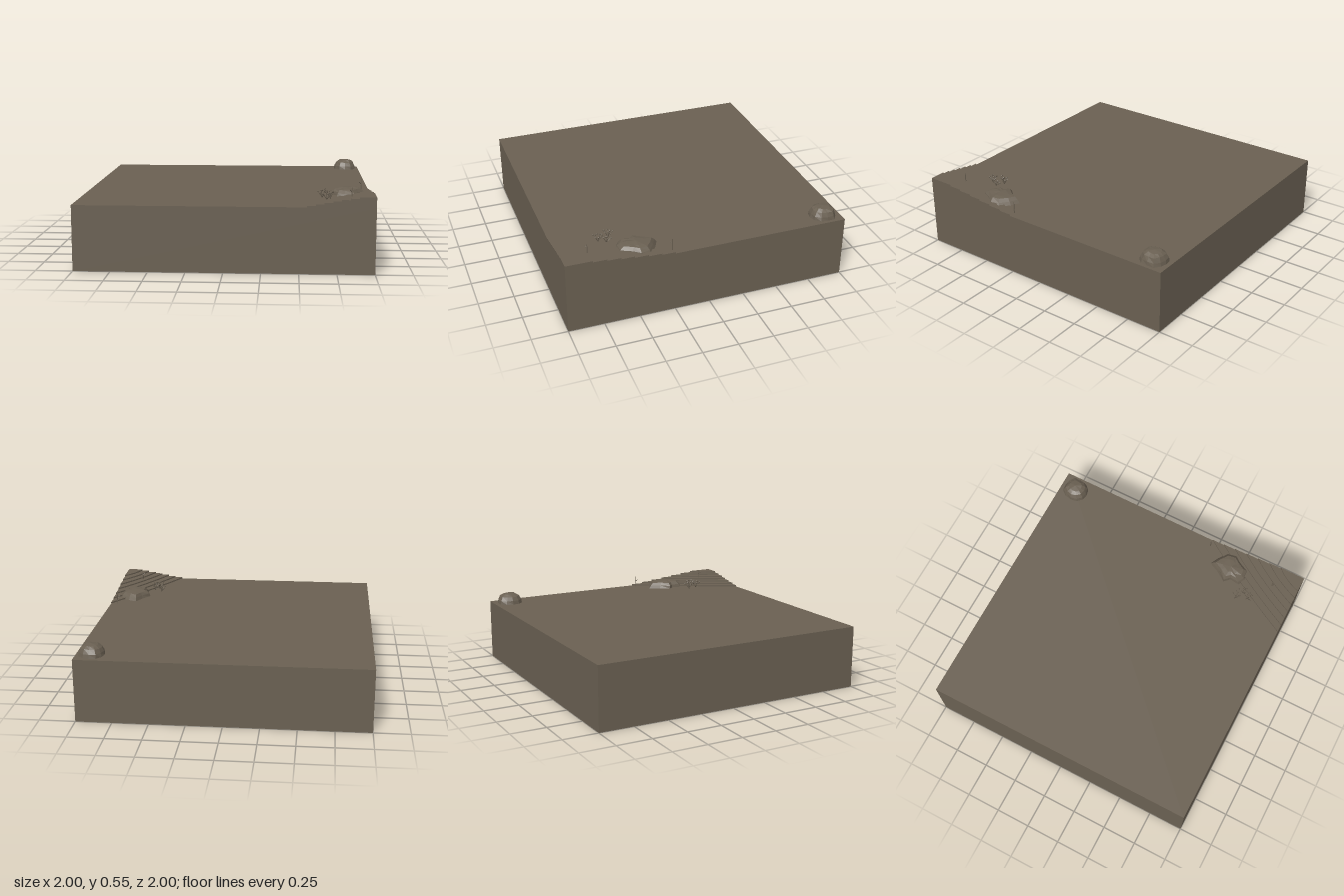
import * as THREE from 'three';

export function createModel() {
  const model = new THREE.Group();
  const earth = new THREE.MeshStandardMaterial({ color: 0x6a6052 });
  earth.name = 'earth brown';
  earth.flatShading = true;
  const GROUND = 0.445;

  let seed = 7;
  const rand = () => (seed = (seed * 16807) % 2147483647) / 2147483647;

  const add = (parent, name, geometry, x = 0, y = 0, z = 0) => {
    const mesh = new THREE.Mesh(geometry, earth);
    mesh.name = name;
    mesh.position.set(x, y, z);
    parent.add(mesh);
    return mesh;
  };

  // Ground block
  add(model, 'groundBlock', new THREE.BoxGeometry(2, GROUND, 2), 0, GROUND / 2, 0);

  // Terraced hill climbing into the front left corner
  const hill = new THREE.Group();
  hill.name = 'terracedHill';
  const steps = 7, rise = 0.01;
  for (let k = 0; k < steps; k++) {
    const x0 = 0.55 + 0.45 * k / 8, z0 = 0.25 + 0.75 * k / 8;
    const shape = new THREE.Shape();
    shape.moveTo(1, -1);
    shape.lineTo(1, -z0);
    shape.quadraticCurveTo((1 + x0) / 2 - 0.02, -(1 + z0) / 2 + 0.02, x0, -1);
    shape.closePath();
    const terrace = new THREE.ExtrudeGeometry(shape, { depth: rise, bevelEnabled: false, curveSegments: 6 });
    terrace.rotateX(-Math.PI / 2);
    add(hill, 'terrace', terrace, 0, GROUND + k * rise, 0);
  }
  model.add(hill);

  // Rugged mound: rings of an outline shrinking towards its middle
  function mound(name, outline, height, rings) {
    const n = outline.length;
    const cx = outline.reduce((s, p) => s + p[0], 0) / n;
    const cz = outline.reduce((s, p) => s + p[1], 0) / n;
    const pos = [], index = [];
    for (const [scale, lift] of rings) {
      for (const [x, z] of outline) {
        const s = scale * (lift > 0 ? 0.96 + rand() * 0.08 : 1);
        const h = lift > 0 ? height * lift * (0.9 + rand() * 0.1) : 0;
        pos.push(cx + (x - cx) * s, GROUND + h, cz + (z - cz) * s);
      }
    }
    for (let r = 0; r < rings.length - 1; r++) {
      for (let i = 0; i < n; i++) {
        const a = r * n + i, b = r * n + (i + 1) % n;
        index.push(a, b, a + n, b, b + n, a + n);
      }
    }
    const top = pos.length / 3, last = top - n;
    pos.push(cx, GROUND + height, cz);
    for (let i = 0; i < n; i++) index.push(last + i, last + (i + 1) % n, top);
    const g = new THREE.BufferGeometry();
    g.setAttribute('position', new THREE.Float32BufferAttribute(pos, 3));
    g.setIndex(index);
    const flat = g.toNonIndexed();
    flat.computeVertexNormals();
    add(model, name, flat);
  }

  // Outlines run counter-clockwise as seen from above
  const boulder = [];
  for (let i = 0; i < 12; i++) {
    const a = i / 12 * Math.PI * 2, r = 0.088 + rand() * 0.014;
    boulder.push([0.893 + Math.cos(a) * r * 0.95, -0.88 - Math.sin(a) * r]);
  }
  mound('backBoulder', boulder, 0.078, [[1, 0], [0.93, 0.35], [0.78, 0.75], [0.5, 0.96]]);
  mound('hillOutcrop', [
    [0.82, 0.32], [0.78, 0.4], [0.73, 0.47], [0.77, 0.51], [0.76, 0.58], [0.81, 0.61],
    [0.88, 0.6], [0.92, 0.52], [0.96, 0.47], [0.95, 0.4], [0.88, 0.35],
  ], 0.055, [[1, 0], [0.92, 0.45], [0.75, 0.85], [0.45, 0.97]]);

  // Straight twig between two points
  function twig(parent, name, from, to, radius) {
    const a = new THREE.Vector3(...from), b = new THREE.Vector3(...to);
    const dir = b.clone().sub(a);
    const mesh = add(parent, name, new THREE.CylinderGeometry(radius * 0.7, radius, dir.length(), 5));
    mesh.position.copy(a).add(b).multiplyScalar(0.5);
    mesh.quaternion.setFromUnitVectors(new THREE.Vector3(0, 1, 0), dir.normalize());
  }

  // Low shrubs beside the outcrop
  for (const [x, z] of [[0.66, 0.61], [0.69, 0.69], [0.715, 0.64]]) {
    const shrub = new THREE.Group();
    shrub.name = 'shrub';
    for (let i = 0; i < 8; i++) {
      const a = i * 2.4, r = 0.012 + rand() * 0.025;
      const tip = [x + Math.cos(a) * r, 0.475 + rand() * 0.03, z + Math.sin(a) * r];
      twig(shrub, 'branch', [x, GROUND, z], tip, 0.002);
      add(shrub, 'leafClump', new THREE.IcosahedronGeometry(0.005 + rand() * 0.003, 0), ...tip);
    }
    model.add(shrub);
  }

  // Two bare saplings
  for (const [x, z, base, top] of [[0.85, 0.81, 0.485, 0.55], [0.95, 0.255, 0.44, 0.53]]) {
    const sapling = new THREE.Group();
    sapling.name = 'sapling';
    const fork = base + (top - base) * 0.55;
    twig(sapling, 'trunk', [x, base, z], [x, top, z], 0.004);
    twig(sapling, 'sideTwig', [x, fork, z], [x - 0.016, fork + 0.015, z + 0.012], 0.003);
    model.add(sapling);
  }

  return model;
}
